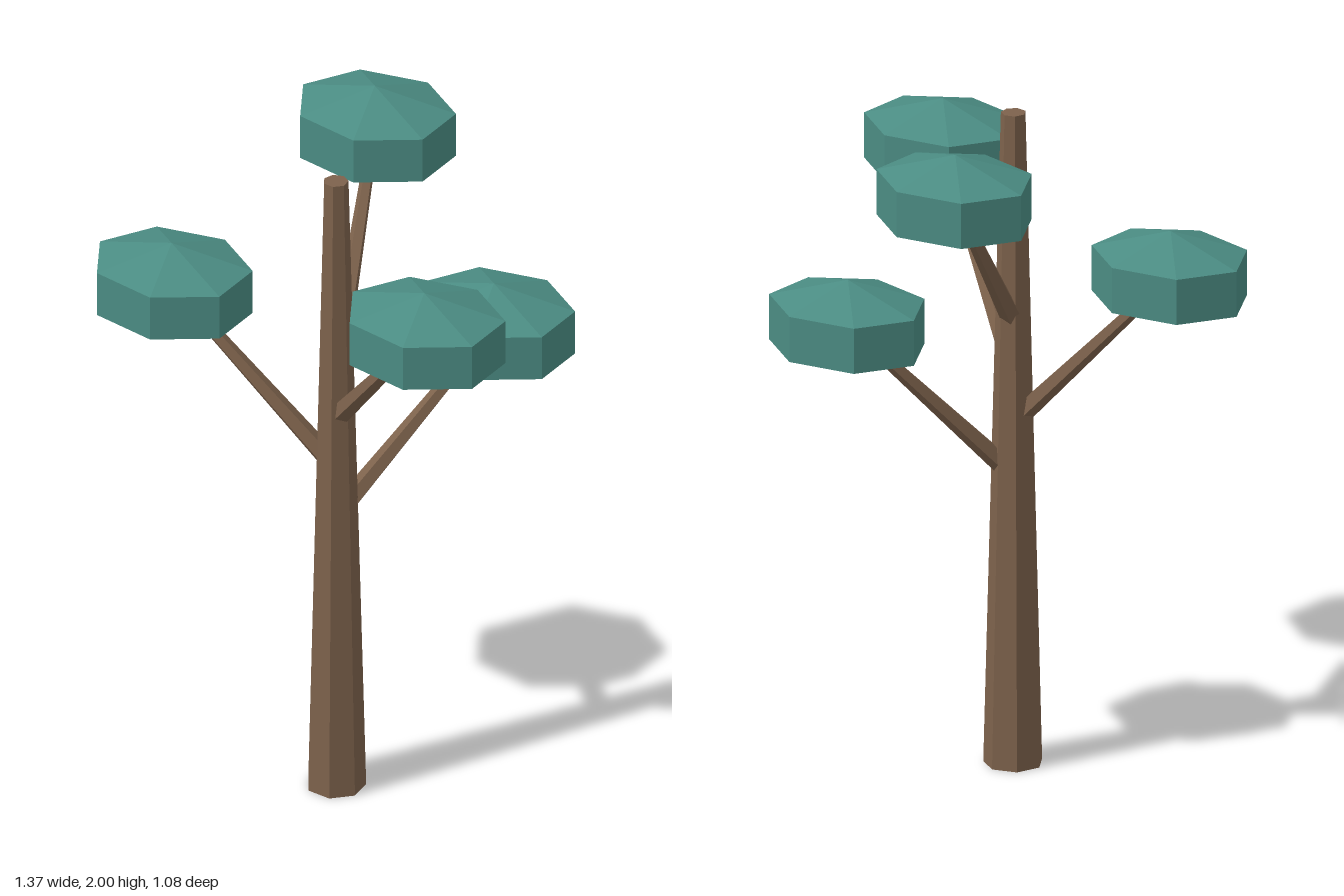
import * as THREE from 'three';

const bark = new THREE.MeshStandardMaterial({ color: 0x7d624c, flatShading: true });
const leaf = new THREE.MeshStandardMaterial({ color: 0x4b8c83, flatShading: true });

const TRUNK_X = 0.026, TRUNK_Z = 0.115, TRUNK_HEIGHT = 1.96;

// Tapered faceted limb running between two points
function limb(name, from, to, r0, r1, sides, twist = 0) {
  const dir = to.clone().sub(from);
  const geo = new THREE.CylinderGeometry(r1, r0, dir.length(), sides);
  geo.rotateY(twist);
  const mesh = new THREE.Mesh(geo, bark);
  mesh.name = name;
  mesh.position.copy(from).add(to).multiplyScalar(0.5);
  mesh.quaternion.setFromUnitVectors(new THREE.Vector3(0, 1, 0), dir.normalize());
  return mesh;
}

export function createModel() {
  const tree = new THREE.Group();
  tree.name = 'tree';

  // Trunk
  tree.add(limb('trunk',
    new THREE.Vector3(TRUNK_X, 0, TRUNK_Z),
    new THREE.Vector3(TRUNK_X, TRUNK_HEIGHT, TRUNK_Z),
    0.086, 0.036, 7, THREE.MathUtils.degToRad(20)));

  // Branches: height on the trunk, then the centre of the leaf clump
  const branches = [
    [0.87, 0.294, 1.375, -0.298],
    [1.03, -0.445, 1.54, 0.24],
    [1.19, 0.465, 1.70, 0.34],
    [1.33, -0.135, 1.865, -0.345],
  ];

  // Seven-sided flattened clump shared by all branches
  const clump = new THREE.SphereGeometry(1, 7, 3);
  clump.scale(0.277, 0.136, 0.234);

  branches.forEach(([startY, x, y, z], i) => {
    const from = new THREE.Vector3(TRUNK_X, startY, TRUNK_Z);
    const to = new THREE.Vector3(x, y, z);
    tree.add(limb(`branch${i + 1}`, from, to, 0.032, 0.016, 5));

    const leaves = new THREE.Mesh(clump, leaf);
    leaves.name = `foliage${i + 1}`;
    leaves.position.copy(to);
    tree.add(leaves);
  });

  return tree;
}
